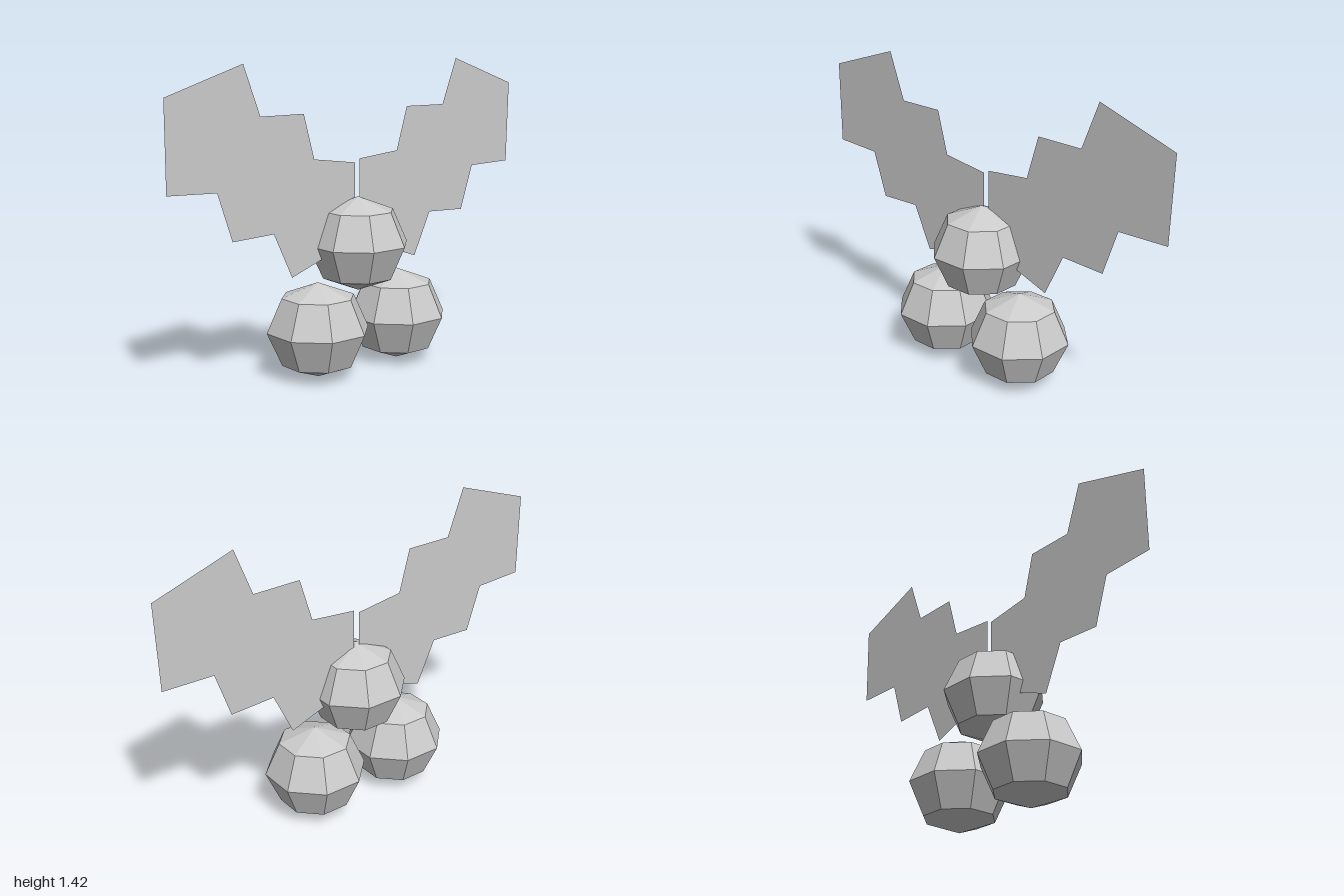
import * as THREE from 'three';

const material = new THREE.MeshStandardMaterial({ color: 0xcccccc, flatShading: true });
const sheetMaterial = new THREE.MeshStandardMaterial({ color: 0xcccccc, side: THREE.DoubleSide });

// Eight-sided faceted ball, flat faces towards the axes
const RADIUS = 0.22;
const ballGeometry = new THREE.SphereGeometry(RADIUS, 8, 4);
ballGeometry.rotateY(Math.PI / 8);
const widen = 1 / Math.cos(Math.PI / 8);
ballGeometry.scale(widen, 1, widen);

function ball(name, x, y) {
  const mesh = new THREE.Mesh(ballGeometry, material);
  mesh.name = name;
  mesh.position.set(x, y, 0);
  return mesh;
}

// Thin leaf cut out of a flat sheet
function leaf(name, outline) {
  const shape = new THREE.Shape(outline.map(([x, y]) => new THREE.Vector2(x, y)));
  const mesh = new THREE.Mesh(new THREE.ShapeGeometry(shape), sheetMaterial);
  mesh.name = name;
  mesh.position.z = -0.02;
  return mesh;
}

export function createModel() {
  const group = new THREE.Group();
  group.name = 'berriesWithLeaves';

  // Three berries stacked in a triangle
  group.add(
    ball('rightBerry', -0.249, RADIUS),
    ball('leftBerry', 0.225, RADIUS),
    ball('topBerry', -0.013, 0.589),
  );

  // Jagged leaves, each slightly different
  group.add(
    leaf('rightLeaf', [
      [-0.016, 0.963], [-0.249, 0.995], [-0.305, 1.2], [-0.535, 1.2],
      [-0.618, 1.425], [-1, 1.3], [-1, 0.904], [-0.759, 0.893],
      [-0.687, 0.676], [-0.473, 0.684], [-0.377, 0.476], [-0.016, 0.604],
    ]),
    leaf('leftLeaf', [
      [0.011, 0.979], [0.24, 1.0], [0.302, 1.205], [0.535, 1.203],
      [0.62, 1.422], [1, 1.291], [0.989, 0.893], [0.743, 0.888],
      [0.671, 0.674], [0.455, 0.684], [0.358, 0.479], [0.011, 0.604],
    ]),
  );
  return group;
}
